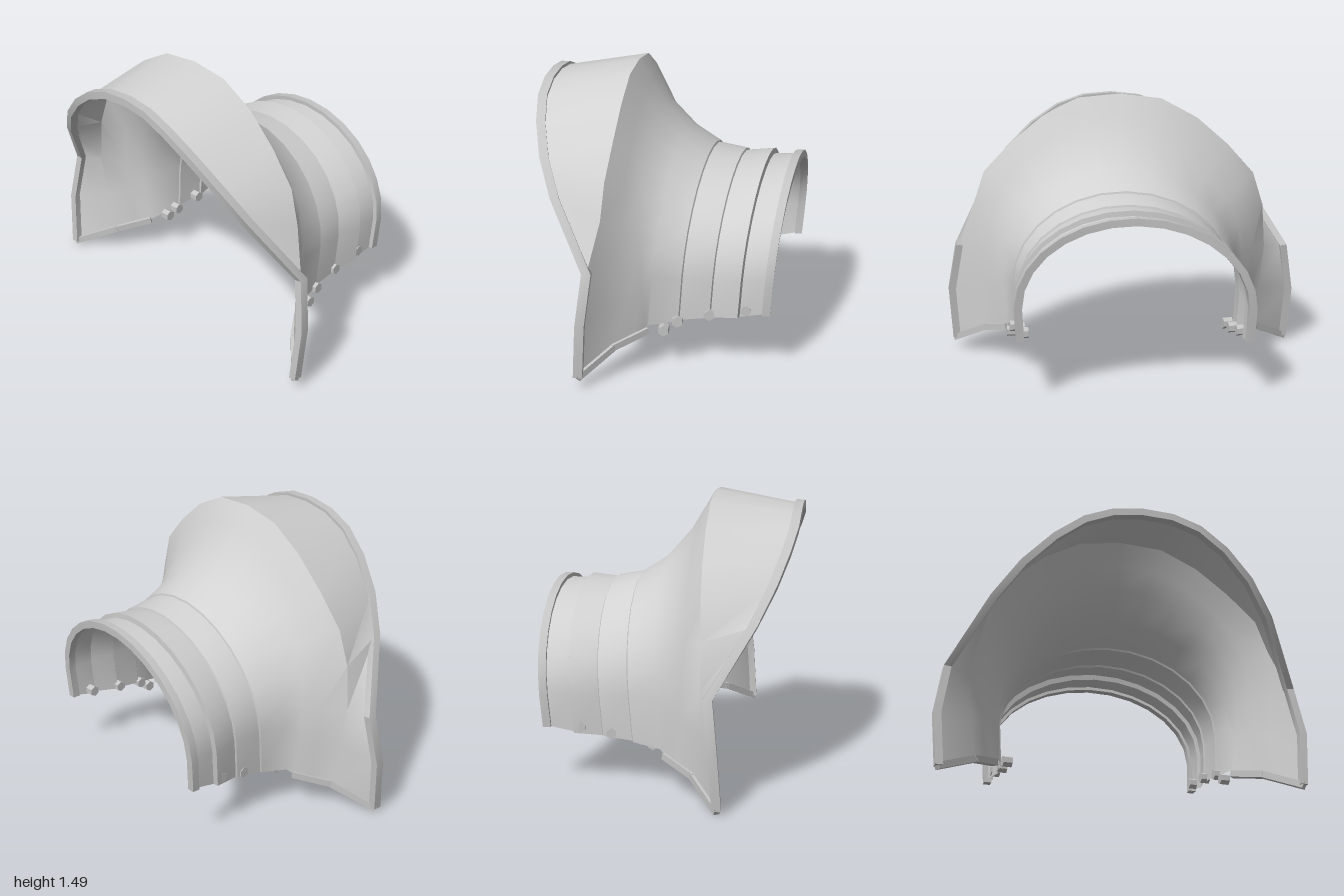
import * as THREE from 'three';
import { toCreasedNormals } from 'three/addons/utils/BufferGeometryUtils.js';

const shellMat = new THREE.MeshStandardMaterial({ color: 0xd2d2d2, side: THREE.DoubleSide });
shellMat.name = 'plate grey';
const trimMat = new THREE.MeshStandardMaterial({ color: 0xc4c4c4, side: THREE.DoubleSide });
trimMat.name = 'trim grey';

// Mirrors a half profile [x, y, halfWidth] (bottom to top) into a full arch, front to back.
// skew turns the arch slightly so its back end sits further to +x.
function fullArch(half, zc, skew) {
  const side = (s) => half.map(([x, y, w]) =>
    new THREE.Vector3(x - skew * s * w, y + 0.025 * s * w, zc + s * w));
  return [...side(1), ...side(-1).reverse().slice(1)];
}

// Half-ellipse arch on a short straight leg, leaning with height.
function bandArch(xTop, top, bottom, w, zc) {
  const half = [[0, bottom, w * 0.985]];
  for (let k = 0; k <= 7; k++) {
    const a = (k / 7) * Math.PI / 2;
    half.push([0, 0.5 + (top - 0.5) * Math.sin(a), w * Math.cos(a)]);
  }
  half.forEach((p) => { p[0] = xTop + 0.075 * (p[1] - top); });
  return fullArch(half, zc, 0.105);
}

// Skin stretched over a list of arches.
function loft(rows, crease, caps = false) {
  const n = rows[0].length, pos = [], idx = [];
  rows.forEach((r) => r.forEach((p) => pos.push(p.x, p.y, p.z)));
  for (let i = 0; i < rows.length - 1; i++) {
    for (let j = 0; j < n - 1; j++) {
      const a = i * n + j, b = a + n;
      idx.push(a, b, b + 1, a, b + 1, a + 1);
    }
  }
  if (caps) {
    idx.push(0, 2 * n, n, 0, 3 * n, 2 * n);
    const e = n - 1;
    idx.push(e, e + n, e + 2 * n, e, e + 2 * n, e + 3 * n);
  }
  const g = new THREE.BufferGeometry();
  g.setAttribute('position', new THREE.Float32BufferAttribute(pos, 3));
  g.setIndex(idx);
  return toCreasedNormals(g, crease);
}

// Square-section rim following an arch.
function rimGeometry(arch, zc, hx, hr) {
  const row = (sx, sr) => arch.map((p) => {
    const d = new THREE.Vector3(0, Math.max(p.y - 0.5, 0), p.z - zc).normalize();
    return p.clone().addScaledVector(d, sr * hr).add(new THREE.Vector3(sx * hx, 0, 0));
  });
  return loft([row(-1, 1), row(1, 1), row(1, -1), row(-1, -1), row(-1, 1)], 0.5, true);
}

export function createModel() {
  const model = new THREE.Group();
  const add = (name, geo, mat) => {
    const m = new THREE.Mesh(geo, mat);
    m.name = name;
    model.add(m);
    return m;
  };

  // Flared collar: open edge, crest, then the shoulder and neck narrowing to the bands
  const edge = fullArch([
    [-0.335, 0.045, 0.95], [-0.315, 0.34, 0.97], [-0.285, 0.61, 0.925],
    [-0.485, 0.93, 0.74], [-0.57, 1.1, 0.61], [-0.625, 1.24, 0.46],
    [-0.655, 1.34, 0.31], [-0.66, 1.395, 0.16], [-0.66, 1.41, 0]], 0.01, 0.08);
  const crest = fullArch([
    [-0.19, 0.15, 0.77], [-0.22, 0.38, 0.8], [-0.235, 0.61, 0.83],
    [-0.235, 0.86, 0.815], [-0.225, 1.045, 0.755], [-0.215, 1.21, 0.605],
    [-0.21, 1.36, 0.43], [-0.21, 1.465, 0.23], [-0.21, 1.49, 0]], 0.035, 0.08);
  const shoulder = fullArch([
    [-0.1, 0.18, 0.7], [-0.12, 0.41, 0.73], [-0.13, 0.61, 0.735],
    [-0.14, 0.81, 0.715], [-0.145, 0.98, 0.66], [-0.145, 1.14, 0.53],
    [-0.145, 1.27, 0.37], [-0.145, 1.355, 0.19], [-0.145, 1.38, 0]], 0.04, 0.085);
  const neck = fullArch([
    [-0.04, 0.2, 0.65], [-0.05, 0.43, 0.675], [-0.06, 0.61, 0.675],
    [-0.07, 0.78, 0.65], [-0.08, 0.93, 0.585], [-0.08, 1.06, 0.47],
    [-0.08, 1.17, 0.32], [-0.08, 1.245, 0.16], [-0.08, 1.27, 0]], 0.05, 0.09);
  const throat = bandArch(0.05, 1.12, 0.225, 0.635, 0.06);
  const neckEnd = bandArch(0.19, 1.028, 0.25, 0.61, 0.07);
  add('flaredCollar', loft([edge, crest, shoulder, neck, throat, neckEnd], 1.0), shellMat);
  add('collarRim', rimGeometry(edge, 0.01, 0.024, 0.02), trimMat);

  // Overlapping arm bands: start and end [x, top, bottom, halfWidth, centre]
  const bands = [
    [[0.195, 1.018, 0.255, 0.602, 0.07], [0.345, 0.99, 0.275, 0.596, 0.075]],
    [[0.35, 0.98, 0.275, 0.587, 0.075], [0.495, 0.995, 0.293, 0.618, 0.08]],
    [[0.5, 0.967, 0.293, 0.594, 0.085], [0.625, 0.97, 0.32, 0.6, 0.09]],
  ];
  let previous = neckEnd;
  bands.forEach(([a, b], i) => {
    const start = bandArch(...a), end = bandArch(...b);
    add('bandLip' + (i + 1), loft([previous, start], 0.6), trimMat);
    add('armBand' + (i + 1), loft([start, end], 0.6), shellMat);
    previous = end;
  });
  const cuff = bandArch(0.636, 0.972, 0.32, 0.603, 0.09);
  add('cuffRim', rimGeometry(cuff, 0.09, 0.021, 0.02), trimMat);

  // Trim bars along the bottom edges of the collar
  const bar = (name, a, b) => {
    const m = add(name, new THREE.BoxGeometry(0.035, 0.035, a.distanceTo(b) + 0.02), trimMat);
    m.position.copy(a).lerp(b, 0.5);
    m.lookAt(b);
  };
  const last = edge.length - 1;
  [['front', 0], ['back', last]].forEach(([side, j]) => {
    bar(side + 'OuterEdgeTrim', edge[j], crest[j]);
    bar(side + 'InnerEdgeTrim', crest[j], neck[j]);
  });

  // Hexagonal rivets along the inside of both lower edges
  const rivetGeo = toCreasedNormals(
    new THREE.CylinderGeometry(0.03, 0.03, 0.05, 6).rotateX(Math.PI / 2), 0.3);
  const rivets = (name, spots) => spots.forEach(([x, y, z]) => {
    add(name, rivetGeo, trimMat).position.set(x, y, z);
  });
  rivets('frontRivet', [
    [-0.005, 0.22, 0.68], [0.065, 0.27, 0.67], [0.23, 0.31, 0.655], [0.42, 0.345, 0.655]]);
  rivets('backRivet', [
    [0.09, 0.225, -0.515], [0.155, 0.25, -0.505], [0.31, 0.275, -0.495], [0.47, 0.31, -0.5]]);

  return model;
}
